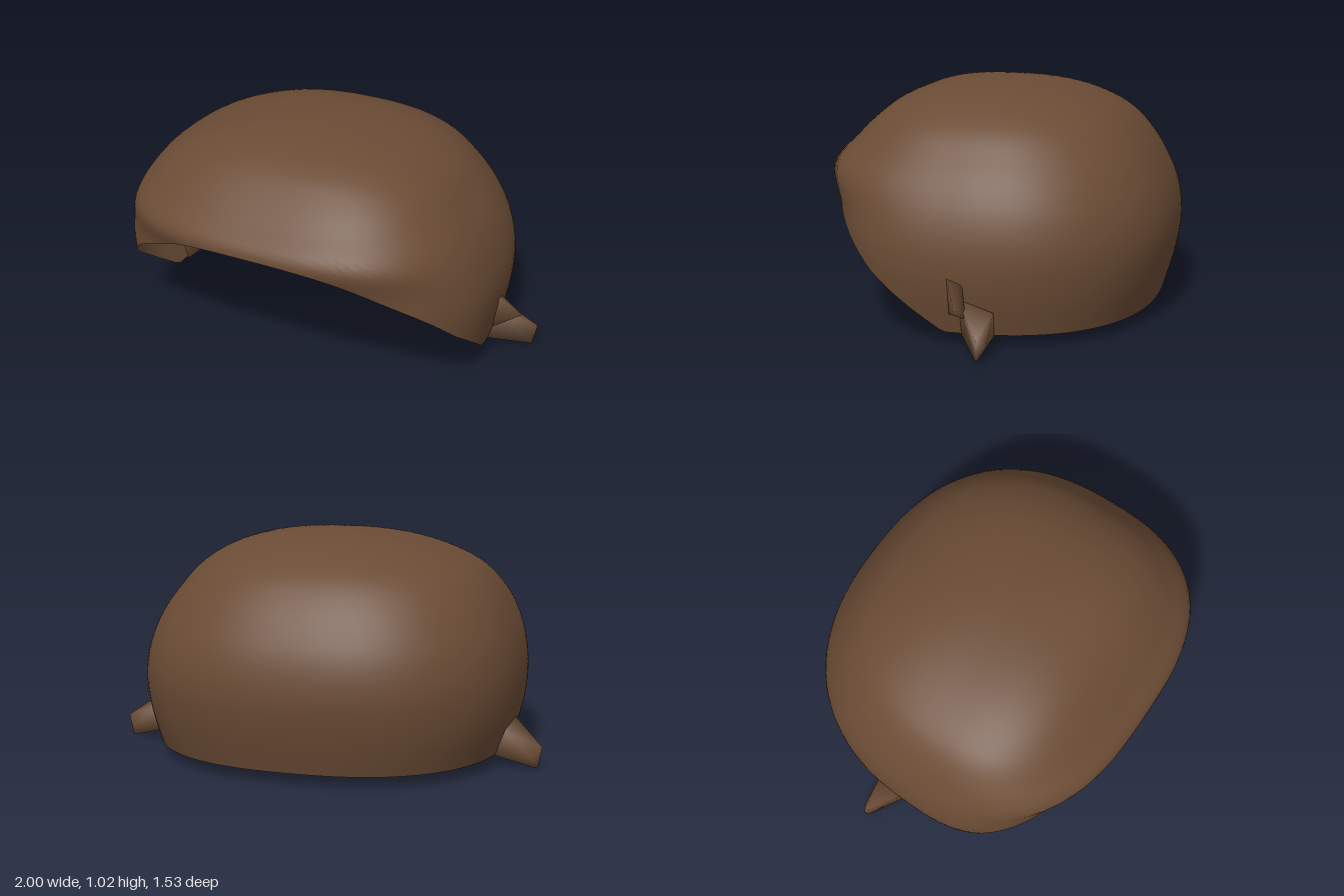
import * as THREE from 'three';
import { ConvexGeometry } from 'three/addons/geometries/ConvexGeometry.js';
import { mergeVertices } from 'three/addons/utils/BufferGeometryUtils.js';

const TOP = 1.03, CROWN_Z = 0.07, SEGMENTS = 120, ROWS = 36;

// Horizontal extents at depth s * s below the crown, for s = 0, 0.1 ... 1
const LEFT = [0, 0.2, 0.38, 0.51, 0.615, 0.695, 0.775, 0.835, 0.864, 0.85, 0.8];
const RIGHT = [0, 0.18, 0.36, 0.52, 0.66, 0.75, 0.815, 0.863, 0.88, 0.862, 0.8];
const FRONT = [0, 0.16, 0.305, 0.42, 0.51, 0.6, 0.695, 0.65, 0.625, 0.59, 0.55];
const BACK = [0, 0.19, 0.355, 0.49, 0.605, 0.69, 0.76, 0.815, 0.835, 0.81, 0.755];
// Height of the lower edge against z
const RIM = [[-2, 0.055], [0.08, 0.06], [0.4, 0.296], [0.6, 0.486], [0.7, 0.59], [0.77, 0.655], [1, 0.87]];

// Smooth interpolation through a table with steps of 0.1
function sample(table, s) {
  const f = Math.min(Math.max(s * 10, 0), 10);
  const i = Math.min(Math.floor(f), 9), t = f - i;
  const p = table[i], q = table[i + 1];
  const m = i > 0 ? (q - table[i - 1]) / 2 : q - p;
  const n = i < 9 ? (table[i + 2] - p) / 2 : q - p;
  return p + t * m + t * t * (3 * (q - p) - 2 * m - n) + t * t * t * (2 * (p - q) + m + n);
}

function rimHeight(z) {
  const i = Math.max(1, RIM.findIndex((p) => p[0] >= z));
  const [a, b] = [RIM[i - 1], RIM[i]];
  return a[1] + ((z - a[0]) / (b[0] - a[0])) * (b[1] - a[1]);
}

// Point on the dome: rounded-square sections, squarer at the front
function domePoint(angle, s) {
  const c = Math.cos(angle), d = Math.sin(angle);
  const n = d > 0 ? 2.75 : 2.4;
  const k = (Math.abs(c) ** n + Math.abs(d) ** n) ** (-1 / n);
  return [
    c * k * sample(c > 0 ? LEFT : RIGHT, s),
    TOP - s * s,
    CROWN_Z + d * k * sample(d > 0 ? FRONT : BACK, s),
  ];
}

// Depth at which the dome meets its lower edge
function rimDepth(angle) {
  let low = 0.2, high = 1;
  for (let i = 0; i < 30; i++) {
    const mid = (low + high) / 2, p = domePoint(angle, mid);
    if (p[1] > rimHeight(p[2])) low = mid;
    else high = mid;
  }
  return low;
}

function capGeometry() {
  const positions = [0, TOP, CROWN_Z], index = [];
  const angles = Array.from({ length: SEGMENTS }, (_, j) => (j / SEGMENTS) * Math.PI * 2);
  const depths = angles.map(rimDepth);
  for (let i = 1; i <= ROWS; i++) {
    angles.forEach((a, j) => positions.push(...domePoint(a, (depths[j] * i) / ROWS)));
  }
  const at = (i, j) => 1 + (i - 1) * SEGMENTS + (j % SEGMENTS);
  for (let j = 0; j < SEGMENTS; j++) {
    index.push(0, at(1, j + 1), at(1, j));
    for (let i = 1; i < ROWS; i++) {
      index.push(at(i, j), at(i, j + 1), at(i + 1, j));
      index.push(at(i, j + 1), at(i + 1, j + 1), at(i + 1, j));
    }
  }
  const geometry = new THREE.BufferGeometry();
  geometry.setAttribute('position', new THREE.Float32BufferAttribute(positions, 3));
  geometry.setIndex(index);
  geometry.computeVertexNormals();
  return geometry;
}

// Smooth-shaded convex lock of hair, mirrored by side
function tuftGeometry(side, points) {
  const hull = new ConvexGeometry(points.map(([x, y, z]) => new THREE.Vector3(x * side, y, z)));
  hull.deleteAttribute('normal');
  const geometry = mergeVertices(hull);
  geometry.computeVertexNormals();
  return geometry;
}

export function createModel() {
  const model = new THREE.Group();
  model.name = 'hair';
  const brown = new THREE.MeshStandardMaterial({ color: 0x6b4c35, side: THREE.DoubleSide });
  brown.name = 'hair brown';

  function add(name, geometry) {
    const mesh = new THREE.Mesh(geometry, brown);
    mesh.name = name;
    model.add(mesh);
  }

  add('hairCap', capGeometry());

  // Flicked-out tufts in front of the ears
  const lock = [
    [0.8, 0.055, 0], [0.845, 0.22, 0.0], [0.835, 0.17, -0.15], [0.79, 0.055, -0.14],
    [1, 0.105, -0.125], [0.98, 0.005, -0.12], [0.96, 0.06, -0.155],
  ];
  add('leftTuft', tuftGeometry(1, lock));
  add('rightTuft', tuftGeometry(-1, lock));

  // Small thin flick above the left tuft
  add('leftFlick', tuftGeometry(1, [
    [0.85, 0.32, 0.05], [0.85, 0.29, -0.02], [0.89, 0.15, -0.05], [0.84, 0.15, 0.04], [0.955, 0.21, -0.02],
  ]));
  return model;
}
